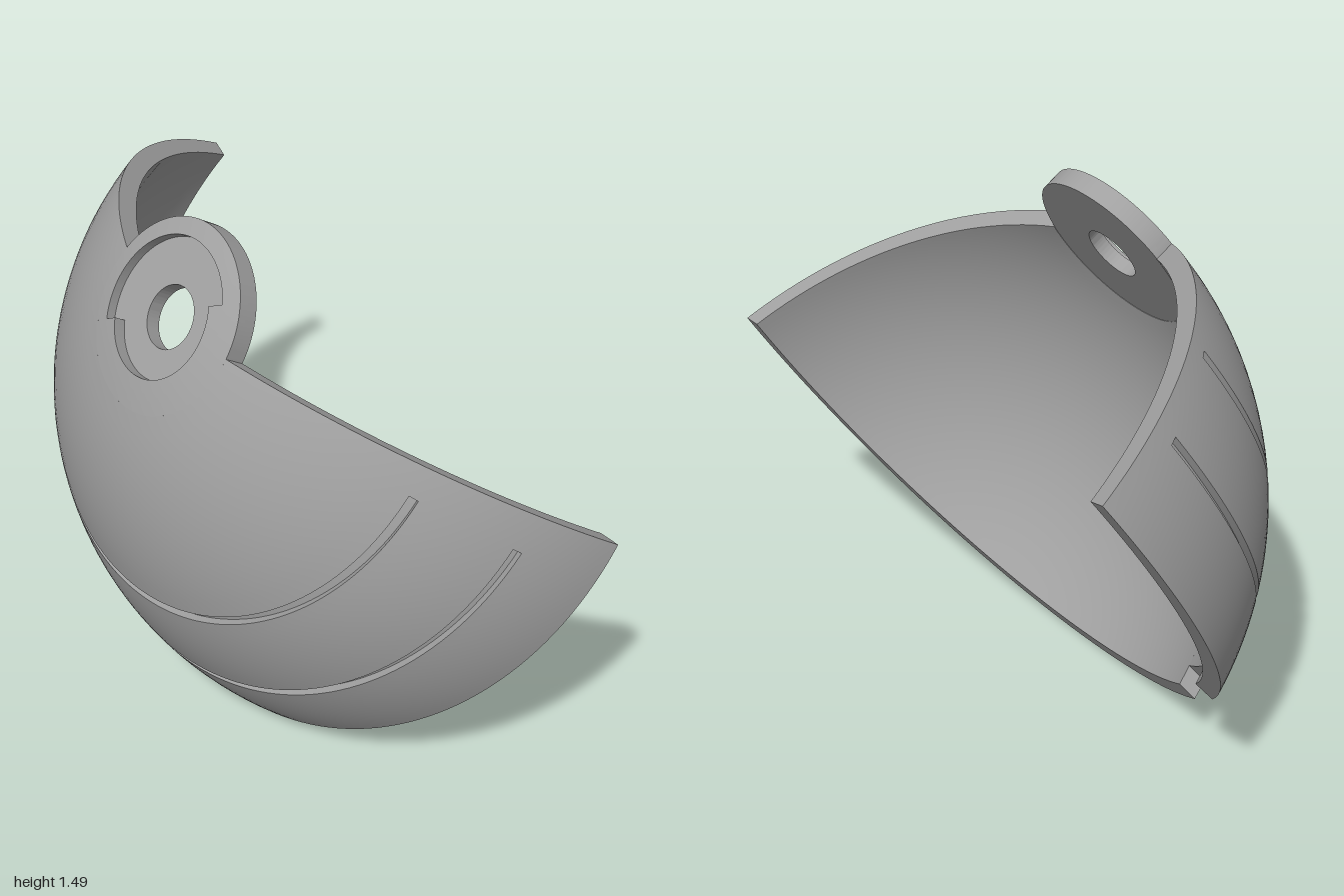
import * as THREE from 'three';
import { mergeGeometries, toCreasedNormals } from 'three/addons/utils/BufferGeometryUtils.js';

const R = 1.036, RI = 0.978;      // outer and inner sphere radius
const T0 = -0.222;                // sphere centre along the axis, below the rim plane
const HUB_R = 0.26, HOLE_R = 0.085, HUB_BACK = 0.722, HUB_FLOOR = 0.765;
const GROOVES = [63.2, 46.6], HALF = 0.72, DEPTH = 0.02;
const rad = THREE.MathUtils.degToRad;
const deg = THREE.MathUtils.radToDeg;

// point on a sphere of radius r at polar angle p (degrees), as (radius, height)
const onSphere = (r, p) => new THREE.Vector2(r * Math.sin(rad(p)), r * Math.cos(rad(p)) + T0);
const polarAtHeight = (r, t) => deg(Math.acos((t - T0) / r));
const polarAtRadius = (r, q) => deg(Math.asin(q / r));

// points along a sphere arc, both ends included
function arc(r, p0, p1, n) {
  const out = [];
  for (let i = 0; i <= n; i++) out.push(onSphere(r, p0 + (p1 - p0) * i / n));
  return out;
}

// closed wall section of the dome, counter-clockwise
function domeProfile(rimHeight, grooved) {
  const pts = [];
  let p = polarAtHeight(R, rimHeight);
  for (const g of GROOVES) {
    pts.push(...arc(R, p, g + HALF, 8));
    if (grooved) pts.push(onSphere(R - DEPTH, g + HALF), onSphere(R - DEPTH, g - HALF));
    p = g - HALF;
  }
  pts.push(...arc(R, p, polarAtRadius(R, HUB_R), 12));
  pts.push(...arc(RI, polarAtRadius(RI, HUB_R), polarAtHeight(RI, rimHeight), 28));
  return pts;
}

// closed hub section with a recess of the given radius
function hubProfile(recess) {
  const v = (x, y) => new THREE.Vector2(x, y);
  return [
    v(HOLE_R, HUB_BACK), v(HUB_R, HUB_BACK),
    ...arc(R, polarAtRadius(R, HUB_R), polarAtRadius(R, recess), 3),
    v(recess, HUB_FLOOR), v(HOLE_R, HUB_FLOOR),
  ];
}

// sweep a closed profile between two azimuths (degrees) and cap both ends
function sweep(profile, a0, a1) {
  const start = rad(90 - a1), length = rad(a1 - a0);
  const steps = Math.max(2, Math.ceil((a1 - a0) / 2));
  const parts = [new THREE.LatheGeometry([...profile, profile[0].clone()], steps, start, length)];
  for (const phi of [start, start + length]) {
    const cap = new THREE.ShapeGeometry(new THREE.Shape(profile));
    if (phi !== start) {
      const ix = cap.index.array;
      for (let i = 0; i < ix.length; i += 3) [ix[i], ix[i + 1]] = [ix[i + 1], ix[i]];
    }
    parts.push(cap.rotateY(phi - Math.PI / 2));
  }
  return mergeGeometries(parts.map((g) => g.toNonIndexed()));
}

function build(name, sections, material) {
  const geometry = mergeGeometries(sections.map(([profile, a0, a1]) => sweep(profile, a0, a1)));
  const mesh = new THREE.Mesh(toCreasedNormals(geometry, rad(25)), material);
  mesh.name = name;
  return mesh;
}

export function createModel() {
  const gray = new THREE.MeshStandardMaterial({ color: 0xa0a0a0, side: THREE.DoubleSide });
  gray.name = 'gray';

  const plain = domeProfile(0, false);
  const grooved = domeProfile(0, true);
  const notched = domeProfile(0.055, true);

  // dome sector: plain margins, grooved middle, one rim notch
  const dome = build('dome', [
    [plain, 3.6, 10],
    [grooved, 10, 130.5],
    [notched, 130.5, 141.5],
    [grooved, 141.5, 199.5],
    [plain, 199.5, 203.5],
  ], gray);

  // pivot hub with a stepped recess and a through hole
  const hub = build('pivotHub', [
    [hubProfile(0.17), -28, 156],
    [hubProfile(0.21), 156, 332],
  ], gray);

  // tilt the axis up and forward
  const axis = new THREE.Vector3(-0.069, 0.533, 0.844).normalize();
  const side = new THREE.Vector3(1, 0, 0).addScaledVector(axis, -axis.x).normalize();
  const down = new THREE.Vector3().crossVectors(side, axis);
  const shell = new THREE.Group();
  shell.name = 'shell';
  shell.add(dome, hub);
  shell.quaternion.setFromRotationMatrix(new THREE.Matrix4().makeBasis(side, axis, down));
  shell.position.set(0, 0.855, -0.293);

  const model = new THREE.Group();
  model.name = 'domeVisor';
  model.add(shell);
  return model;
}
